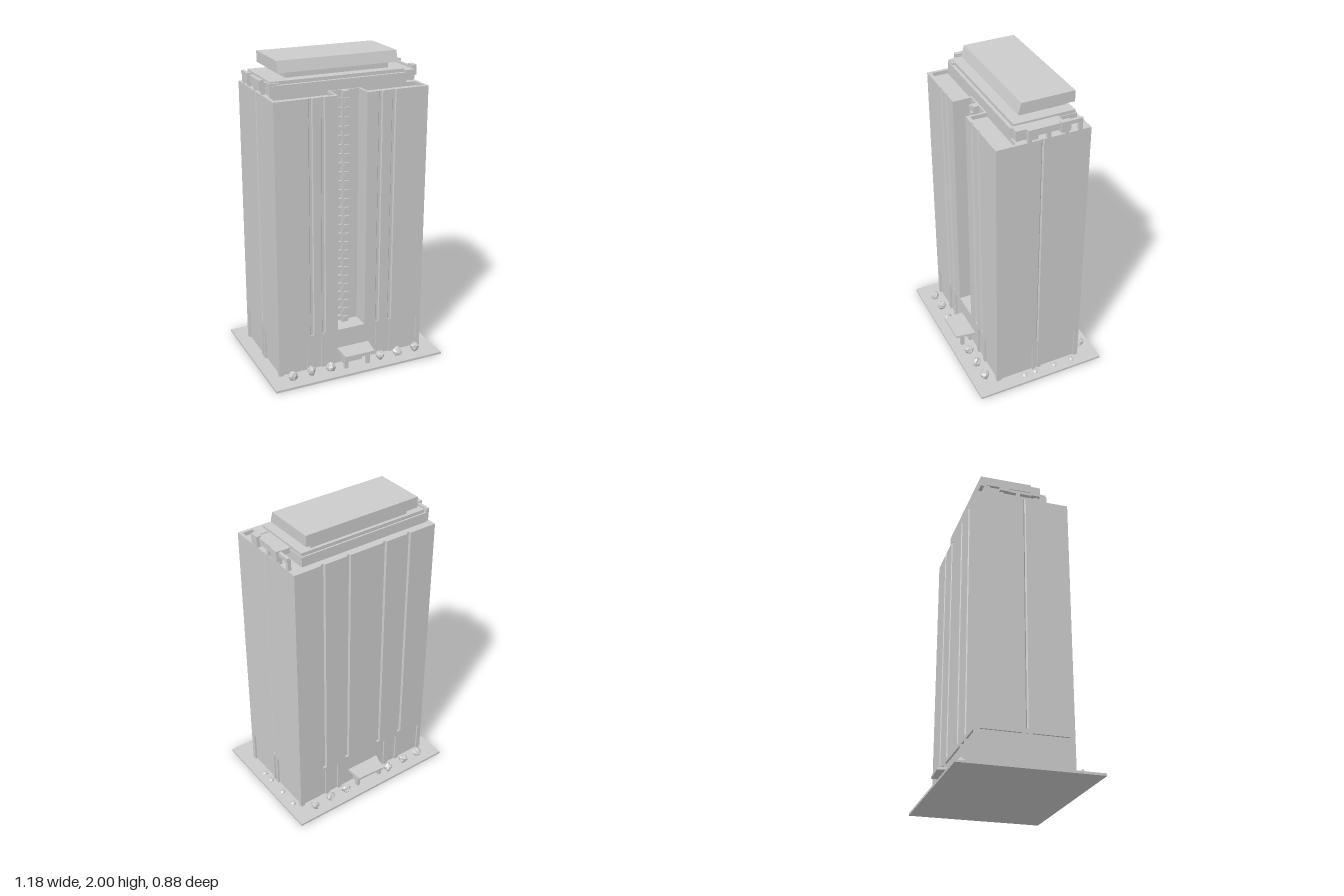
import * as THREE from 'three';

export function createModel() {
  const model = new THREE.Group();
  const mat = new THREE.MeshStandardMaterial({ color: 0xcccccc });
  const rockMat = new THREE.MeshStandardMaterial({ color: 0xcccccc, flatShading: true });

  const add = (name, geo, material = mat) => {
    const mesh = new THREE.Mesh(geo, material);
    mesh.name = name;
    model.add(mesh);
    return mesh;
  };
  // Box from its minimum and maximum corners
  const box = (name, x0, x1, y0, y1, z0, z1) => {
    const mesh = add(name, new THREE.BoxGeometry(x1 - x0, y1 - y0, z1 - z0));
    mesh.position.set((x0 + x1) / 2, (y0 + y1) / 2, (z0 + z1) / 2);
    return mesh;
  };
  // Upright prism from a plan given as [x, z] points
  const prism = (name, plan, y0, y1, holes = []) => {
    const pts = (p) => p.map(([x, z]) => new THREE.Vector2(x, -z));
    const shape = new THREE.Shape(pts(plan));
    holes.forEach((h) => shape.holes.push(new THREE.Path(pts(h))));
    const geo = new THREE.ExtrudeGeometry(shape, { depth: y1 - y0, bevelEnabled: false });
    geo.rotateX(-Math.PI / 2).translate(0, y0, 0);
    return add(name, geo);
  };
  const rect = (x0, x1, z0, z1) => [[x0, z1], [x1, z1], [x1, z0], [x0, z0]];

  const L = -0.51, R = 0.505, F = 0.29, B = -0.31;

  // Paved base
  box('basePlate', -0.59, 0.59, 0, 0.015, -0.44, 0.44);

  // Tower plan: shallow grooves on all sides, deep recess in the front
  const plan = [[L, F]];
  const d = 0.008;
  const grooveX = (x, z, dir, depth) => plan.push(
    [x - dir * 0.014, z], [x - dir * 0.008, z - dir * depth],
    [x + dir * 0.008, z - dir * depth], [x + dir * 0.014, z]);
  grooveX(-0.28, F, 1, d);
  grooveX(-0.2, F, 1, d);
  plan.push([-0.1, F], [-0.1, 0.17], [0.09, 0.17], [0.09, F]);
  grooveX(0.18, F, 1, d);
  grooveX(0.27, F, 1, d);
  plan.push([R, F], [R, 0.008], [R - d, 0], [R, -0.008], [R, B]);
  [0.31, 0.13, -0.13, -0.31].forEach((x) => grooveX(x, B, -1, 0.013));
  plan.push([L, B], [L, -0.008], [L + d, 0], [L, 0.008]);
  prism('tower', plan, 0.26, 1.785);

  // Parapet around the lower front roofs
  prism('parapet', plan, 1.785, 1.81, [
    rect(-0.49, -0.115, 0.16, 0.267), rect(0.105, 0.485, 0.16, 0.267)]);

  // Ground floor, set back behind its frame
  box('groundFloor', L + 0.012, R - 0.012, 0.01, 0.26, B + 0.012, F - 0.012);
  box('groundFloorBand', L, R, 0.235, 0.262, B, F);
  for (const [z0, z1] of [[F - 0.03, F], [B, B + 0.03]]) {
    for (const x of [-0.495, -0.3, -0.2, 0.19, 0.29, 0.49])
      box('groundPillar', x - 0.015, x + 0.015, 0.01, 0.24, z0, z1);
  }
  for (const [x0, x1] of [[L, L + 0.03], [R - 0.03, R]])
    for (const z of [-0.02, 0.02]) box('sidePillar', x0, x1, 0.01, 0.24, z - 0.012, z + 0.012);

  // Ribbed fin and stacked balconies inside the front recess
  box('recessFin', -0.03, 0.012, 0.26, 1.81, 0.16, 0.205);
  const floors = 26;
  for (let i = 0; i < floors; i++) {
    const y = 0.28 + i * 0.0585;
    box('finRib', -0.025, 0.008, y, y + 0.028, 0.2, 0.216);
    box('balcony', -0.1, -0.03, y, y + 0.022, 0.165, 0.188);
  }

  // Entrances: sloping canopy on two legs, with doorway block
  for (const s of [1, -1]) {
    const face = s > 0 ? F : B;
    const span = (name, x0, x1, y0, y1, a, b) =>
      box(name, x0, x1, y0, y1, Math.min(a, b), Math.max(a, b));
    const x0 = s > 0 ? -0.1 : -0.13, x1 = s > 0 ? 0.105 : 0.1;
    const tip = s > 0 ? 0.41 : -0.42;
    prism('canopy', s > 0
      ? [[x0, 0.27], [x1 + 0.02, 0.27], [x1, tip], [x0, tip]]
      : [[x0 + 0.04, tip], [x1, tip + 0.01], [x1 + 0.01, -0.29], [x0, -0.29]].reverse(), 0.108, 0.124);
    for (const x of [x0 + 0.025, x1 - 0.025])
      span('canopyLeg', x - 0.012, x + 0.012, 0.01, 0.11, s * 0.345, s * 0.37);
    span('entrance', -0.07, 0.07, 0.01, 0.11, face - s * 0.03, face + s * 0.012);
  }

  // Shrubs along the front, back and sides
  const shrub = (x, z, i) => {
    const geo = new THREE.IcosahedronGeometry(0.026, 1);
    const p = geo.attributes.position;
    for (let k = 0; k < p.count; k++) {
      const a = p.getX(k) * 130 + i, b = p.getY(k) * 110 + i * 2, c = p.getZ(k) * 140;
      const f = 1 + 0.25 * Math.sin(a + b) * Math.cos(c);
      p.setXYZ(k, p.getX(k) * f * 1.2, p.getY(k) * f * 1.2, p.getZ(k) * f);
    }
    geo.computeVertexNormals();
    const mesh = add('shrub', geo, rockMat);
    mesh.position.set(x, 0.042, z);
    mesh.rotation.y = i * 1.3;
  };
  [-0.44, -0.315, -0.18, 0.18, 0.305, 0.435].forEach((x, i) => {
    shrub(x, 0.35, i);
    shrub(x, -0.365, i + 6);
  });
  for (const z of [-0.25, -0.12, 0.02, 0.1]) {
    const mesh = add('sideStone', new THREE.IcosahedronGeometry(0.022, 0), rockMat);
    mesh.position.set(0.53, 0.018, z);
    mesh.scale.y = 0.6;
  }

  // Roof storey with sloping rim, neck and top slab
  prism('roofStorey', rect(-0.48, 0.42, -0.26, 0.16), 1.78, 1.872);
  prism('roofRim', rect(-0.47, 0.415, -0.25, 0.14), 1.87, 1.893);
  box('roofNeck', -0.35, 0.34, 1.88, 1.94, -0.23, 0.07);
  const slab = box('topSlab', -0.405, 0.39, 1.93, 2.0, -0.26, 0.1);
  const sp = slab.geometry.attributes.position;
  for (let k = 0; k < sp.count; k++)
    if (sp.getY(k) > 0 && sp.getZ(k) > 0) sp.setZ(k, sp.getZ(k) - 0.02);
  slab.geometry.computeVertexNormals();

  // Side roof terraces with railings and end blocks
  for (const s of [-1, 1]) {
    const side = (name, a, b, y0, y1, z0, z1) =>
      box(name, Math.min(s * a, s * b), Math.max(s * a, s * b), y0, y1, z0, z1);
    side('terraceBeam', 0.4, 0.505, 1.845, 1.88, -0.14, 0.09);
    side('terraceRail', 0.49, 0.51, 1.865, 1.89, -0.25, 0.1);
    for (const z of [-0.24, -0.15, -0.04, 0.08])
      side('railPost', 0.485, 0.505, 1.8, 1.88, z - 0.012, z + 0.012);
    for (const z of [-0.14, 0.065])
      side('endBlock', 0.495, 0.525, 1.835, 1.9, z - 0.025, z + 0.035);
    side('frontCornerBlock', 0.42, 0.48, 1.82, 1.885, 0.08, 0.155);
  }
  return model;
}
